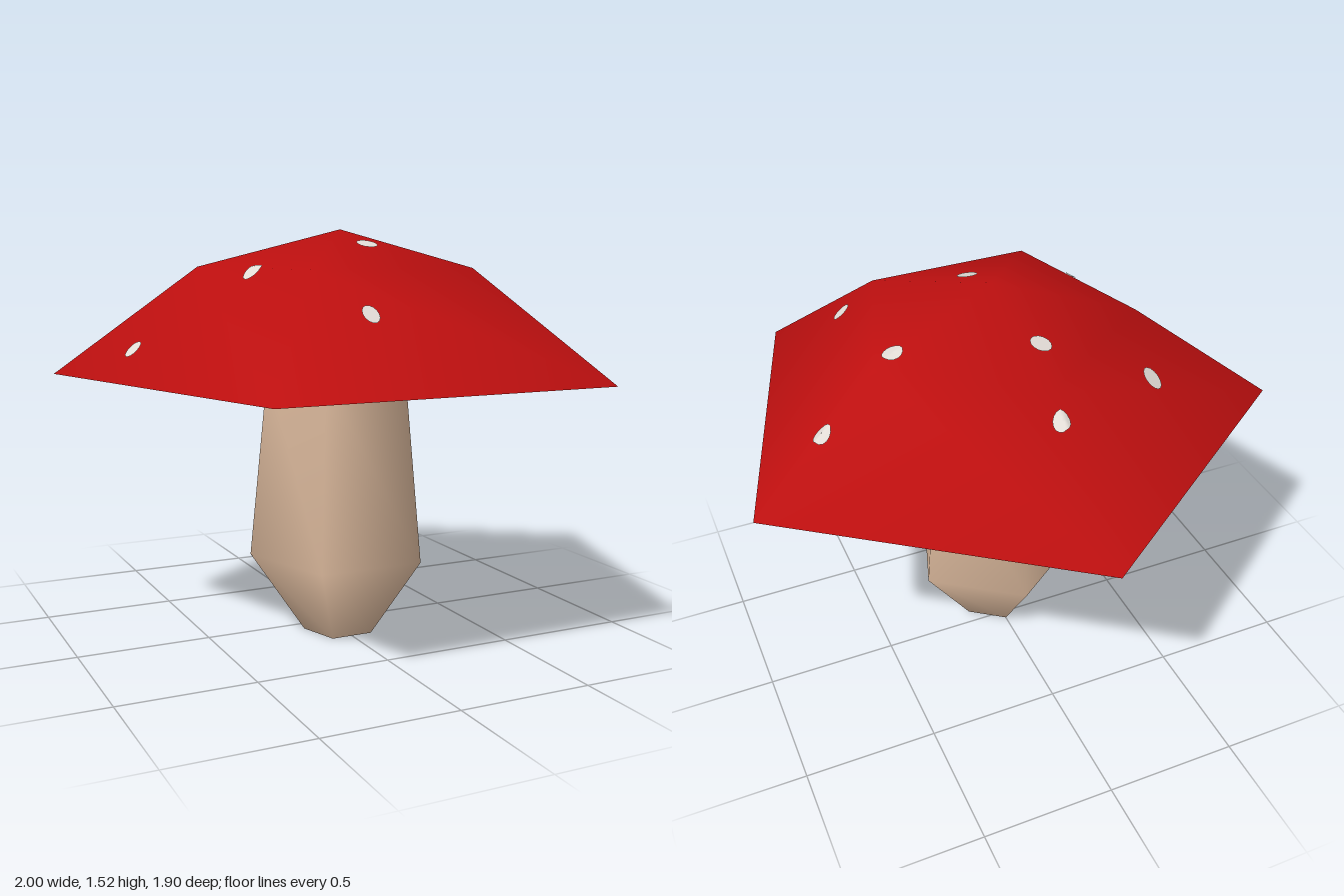
import * as THREE from 'three';
import { mergeVertices } from 'three/addons/utils/BufferGeometryUtils.js';

const SIDES = 5;
const AXIS_Z = 0.1; // the pentagon's axis sits slightly forward of the centre
const CAP = [[1.051, 1.005], [0.525, 1.39], [0, 1.525]]; // radius, height
const STEM = [[0.137, 0], [0.342, 0.305], [0.272, 1.005]];

// Five-sided smooth shell with one corner pointing back
function shell(profile) {
  const points = profile.map(([r, y]) => new THREE.Vector2(r, y));
  const lathe = new THREE.LatheGeometry(points, SIDES, Math.PI);
  lathe.deleteAttribute('normal');
  lathe.deleteAttribute('uv');
  const geometry = mergeVertices(lathe, 1e-4);
  geometry.computeVertexNormals();
  return geometry;
}

// Flat pentagon facing down
function base(radius, y) {
  return new THREE.CircleGeometry(radius, SIDES, -Math.PI / 2).rotateX(Math.PI / 2).translate(0, y, 0);
}

// Height of the cap surface above a point, measured from the cap's axis
function capHeight(x, z) {
  let apothem = 0;
  for (let i = 0; i < SIDES; i++) {
    const a = (i * 2 * Math.PI) / SIDES;
    apothem = Math.max(apothem, x * Math.sin(a) + z * Math.cos(a));
  }
  const r = apothem / Math.cos(Math.PI / SIDES);
  const [low, high] = r > CAP[1][0] ? [CAP[0], CAP[1]] : [CAP[1], CAP[2]];
  return THREE.MathUtils.mapLinear(r, low[0], high[0], low[1], high[1]);
}

// Thin round patch draped over the cap
function spot(x, z, radius) {
  const geometry = new THREE.RingGeometry(0, radius, 14, 3).rotateX(-Math.PI / 2).translate(x, 0, z);
  const p = geometry.attributes.position;
  for (let i = 0; i < p.count; i++) p.setY(i, capHeight(p.getX(i), p.getZ(i)) + 0.006);
  geometry.computeVertexNormals();
  return geometry;
}

export function createModel() {
  const red = new THREE.MeshStandardMaterial({ color: 0xbc0f0f });
  red.name = 'cap red';
  const beige = new THREE.MeshStandardMaterial({ color: 0xdfbc9f });
  beige.name = 'stem beige';
  const white = new THREE.MeshStandardMaterial({ color: 0xe2dcd6 });
  white.name = 'spot white';

  const model = new THREE.Group();
  model.name = 'mushroom';
  const add = (name, geometry, material) => {
    const mesh = new THREE.Mesh(geometry, material);
    mesh.name = name;
    mesh.position.z = AXIS_Z;
    model.add(mesh);
  };

  add('stem', shell(STEM), beige);
  add('stemBase', base(STEM[0][0], 0), beige);
  add('cap', shell(CAP), red);
  add('capUnderside', base(CAP[0][0], CAP[0][1]), red);

  // Scattered spots: x, z, radius
  const spots = [
    [0.01, -0.51, 0.03], [-0.45, -0.3, 0.034], [-0.05, -0.215, 0.038], [0.42, -0.03, 0.037],
    [0.715, -0.13, 0.032], [-0.785, 0.075, 0.028], [-0.41, 0.26, 0.033], [0.02, 0.28, 0.038],
    [0.44, 0.53, 0.03], [-0.17, 0.685, 0.03],
  ];
  spots.forEach(([x, z, r], i) => add(`spot${i + 1}`, spot(x, z - AXIS_Z, r), white));

  return model;
}
